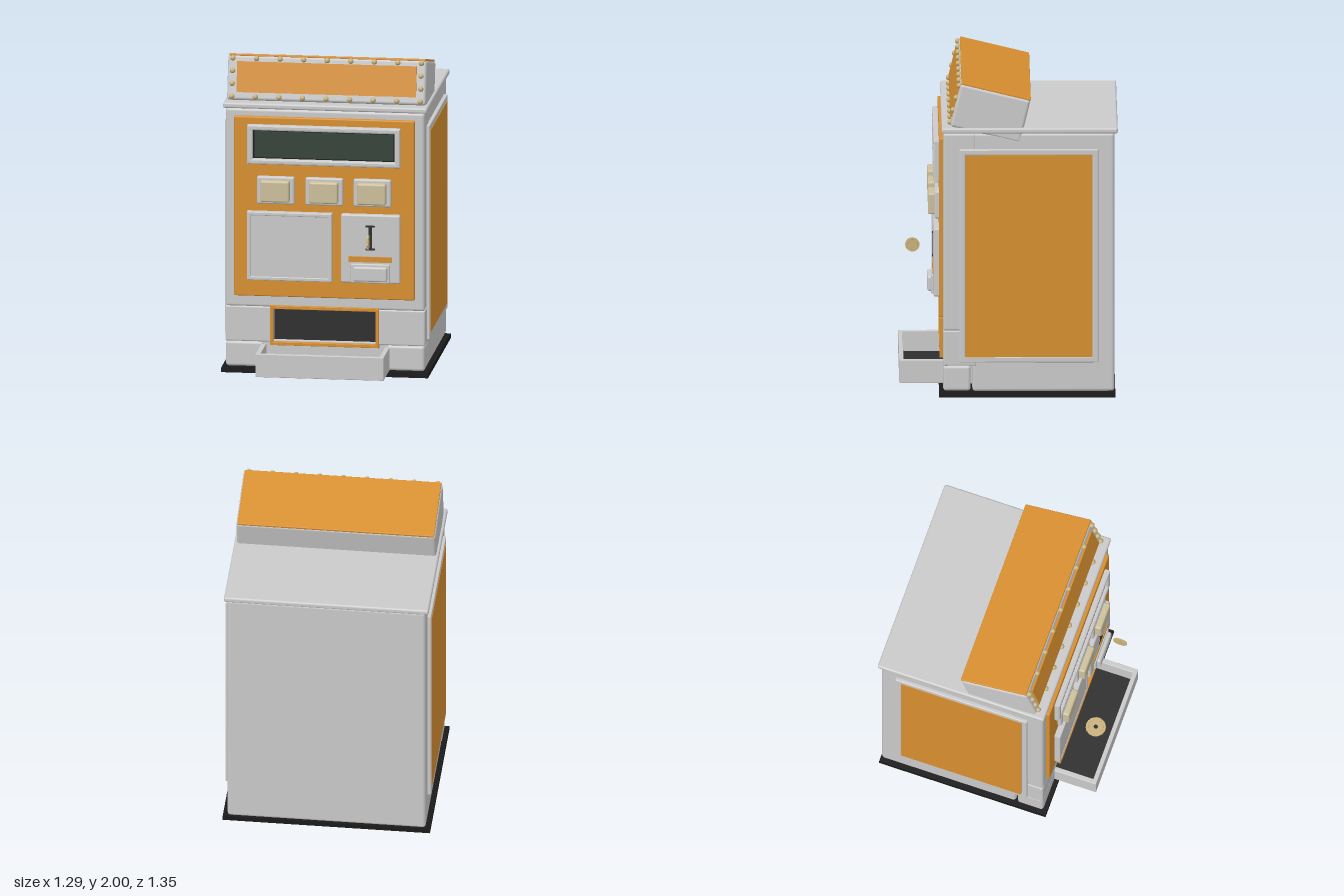
import * as THREE from 'three';
import { RoundedBoxGeometry } from 'three/addons/geometries/RoundedBoxGeometry.js';

const mat = (name, color) => {
  const m = new THREE.MeshStandardMaterial({ color });
  m.name = name;
  return m;
};

export function createModel() {
  const grey = mat('lightGrey', 0xcacaca);
  const orange = mat('orange', 0xd88f30);
  const cream = mat('cream', 0xcdc09c);
  const brass = mat('brass', 0xcbb27c);
  const black = mat('black', 0x1a1a1a);
  const dark = mat('darkGrey', 0x2e2e2e);
  const screen = mat('darkGreenGlass', 0x34433a);

  const model = new THREE.Group();
  model.name = 'vendingMachine';

  const add = (parent, name, geometry, material, x = 0, y = 0, z = 0) => {
    const mesh = new THREE.Mesh(geometry, material);
    mesh.name = name;
    mesh.position.set(x, y, z);
    parent.add(mesh);
    return mesh;
  };
  // Box given by its limits; r > 0 rounds the edges
  const box = (name, material, [x0, x1], [y0, y1], [z0, z1], r = 0, parent = model) => {
    const w = x1 - x0, h = y1 - y0, d = z1 - z0;
    const g = r ? new RoundedBoxGeometry(w, h, d, 2, r) : new THREE.BoxGeometry(w, h, d);
    return add(parent, name, g, material, (x0 + x1) / 2, (y0 + y1) / 2, (z0 + z1) / 2);
  };
  // Bevelled rectangular frame facing +z, its back on z = 0
  const frameGeometry = (w, h, border, depth, bevel) => {
    const rect = (path, a, b) => path.moveTo(-a, -b).lineTo(a, -b).lineTo(a, b).lineTo(-a, b).closePath();
    const shape = rect(new THREE.Shape(), w / 2 - bevel, h / 2 - bevel);
    shape.holes.push(rect(new THREE.Path(), w / 2 - border + bevel, h / 2 - border + bevel));
    return new THREE.ExtrudeGeometry(shape, {
      depth: depth - 2 * bevel, bevelEnabled: true, bevelSize: bevel,
      bevelThickness: bevel, bevelSegments: 2,
    }).translate(0, 0, bevel);
  };

  // Cabinet
  box('basePlate', black, [-0.645, 0.645], [0, 0.03], [-0.66, 0.43]);
  box('mainBody', grey, [-0.617, 0.617], [0.03, 1.675], [-0.655, 0.225], 0.02);
  box('frontBody', grey, [-0.62, 0.62], [0.415, 1.675], [0.2, 0.405], 0.018);
  box('roof', grey, [-0.637, 0.637], [1.675, 1.71], [-0.675, 0.415], 0.012);

  // Side panels
  for (const s of [-1, 1]) {
    const panel = new THREE.Group();
    panel.name = s > 0 ? 'leftSidePanel' : 'rightSidePanel';
    panel.position.set(s * 0.612, 0.898, -0.125);
    panel.rotation.y = s * Math.PI / 2;
    add(panel, 'sidePanelFrame', frameGeometry(0.86, 1.355, 0.037, 0.028, 0.006), grey);
    add(panel, 'sidePanelFace', new THREE.BoxGeometry(0.786, 1.285, 0.024), orange, 0, 0, 0.018);
    model.add(panel);
  }

  // Lower front: blocks beside the outlet and feet beside the tray
  for (const s of [-1, 1]) {
    const span = (a, b) => (s > 0 ? [a, b] : [-b, -a]);
    box('outletSideBlock', grey, span(0.325, 0.623), [0.195, 0.42], [0.2, 0.405], 0.01);
    box('frontFoot', grey, span(0.385, 0.62), [0.035, 0.195], [0.235, 0.405], 0.018);
  }
  box('lowerFiller', grey, [-0.4, 0.4], [0.03, 0.2], [0.2, 0.38]);
  box('outletBack', dark, [-0.33, 0.33], [0.195, 0.42], [0.22, 0.34]);
  add(model, 'outletFrame', frameGeometry(0.68, 0.25, 0.02, 0.03, 0.002), orange, -0.003, 0.305, 0.395);

  // Tray
  const tray = new THREE.Group();
  tray.name = 'tray';
  model.add(tray);
  box('trayFloor', grey, [-0.397, 0.397], [0.033, 0.043], [0.38, 0.673], 0, tray);
  box('trayLining', dark, [-0.372, 0.372], [0.043, 0.05], [0.38, 0.65], 0, tray);
  box('trayFront', grey, [-0.4, 0.4], [0.033, 0.18], [0.648, 0.675], 0.004, tray);
  for (const x of [-0.385, 0.385]) {
    box('traySide', grey, [x - 0.015, x + 0.015], [0.033, 0.18], [0.38, 0.67], 0.004, tray);
  }

  // Front control plate with display
  box('frontPlate', orange, [-0.565, 0.56], [0.49, 1.63], [0.39, 0.43], 0.008);
  add(model, 'displayFrame', frameGeometry(0.955, 0.25, 0.035, 0.04, 0.01), grey, -0.002, 1.46, 0.425);
  add(model, 'displaySurround', new THREE.BoxGeometry(0.9, 0.195, 0.008), black, -0.002, 1.46, 0.434);
  add(model, 'displayGlass', new THREE.BoxGeometry(0.865, 0.165, 0.008), screen, -0.002, 1.46, 0.44);

  // Selection buttons
  for (const x of [-0.303, 0, 0.3]) {
    box('buttonMount', grey, [x - 0.117, x + 0.117], [1.083, 1.258], [0.42, 0.457], 0.012);
    box('button', cream, [x - 0.09, x + 0.09], [1.103, 1.238], [0.44, 0.497], 0.012);
  }

  // Blank door and coin panel
  box('doorPanel', grey, [-0.48, 0.05], [0.6, 1.035], [0.42, 0.465], 0.012);
  add(model, 'doorPanelRim', frameGeometry(0.53, 0.435, 0.025, 0.044, 0.006), grey, -0.215, 0.8175, 0.425);
  box('coinPanel', grey, [0.105, 0.475], [0.6, 1.035], [0.42, 0.465], 0.012);
  box('coinSlot', dark, [0.28, 0.3], [0.82, 0.96], [0.464, 0.469]);
  for (const y of [0.817, 0.963]) box('coinSlotEnd', dark, [0.26, 0.32], [y - 0.005, y + 0.005], [0.464, 0.47]);
  box('coinStripe', orange, [0.155, 0.425], [0.735, 0.77], [0.464, 0.47]);
  box('coinReturnMount', grey, [0.168, 0.412], [0.603, 0.725], [0.45, 0.478], 0.008);
  box('coinReturnFlap', grey, [0.187, 0.397], [0.617, 0.71], [0.46, 0.502], 0.012);

  // Coins: serrated rim, raised inner ring and dark centre dot on each face
  const coin = (name, radius) => {
    const g = new THREE.Group();
    g.name = name;
    const shape = new THREE.Shape();
    for (let i = 0; i < 96; i++) {
      const a = i / 96 * Math.PI * 2, r = radius * (i % 2 ? 0.96 : 1);
      shape[i ? 'lineTo' : 'moveTo'](r * Math.cos(a), r * Math.sin(a));
    }
    shape.closePath();
    add(g, 'coinDisc', new THREE.ExtrudeGeometry(shape, { depth: 0.01, bevelEnabled: false }).translate(0, 0, -0.005), brass);
    for (const s of [-1, 1]) {
      add(g, 'coinRing', new THREE.TorusGeometry(radius * 0.72, 0.0015, 6, 32), brass, 0, 0, s * 0.005);
    }
    model.add(g);
    return g;
  };
  const insertedCoin = coin('insertedCoin', 0.045);
  insertedCoin.position.set(0.292, 0.89, 0.593);
  insertedCoin.rotation.y = Math.PI / 2;
  const trayCoin = coin('trayCoin', 0.063);
  trayCoin.position.set(0, 0.056, 0.535);
  trayCoin.rotation.x = -Math.PI / 2;
  add(trayCoin, 'coinCentre', new THREE.CylinderGeometry(0.013, 0.013, 0.012, 20).rotateX(Math.PI / 2), dark);

  // Tilted sign on the roof
  const sign = new THREE.Group();
  sign.name = 'sign';
  sign.position.set(0, 1.796, 0.114);
  sign.rotation.x = -0.24;
  model.add(sign);
  box('signBody', grey, [-0.62, 0.62], [-0.135, 0.143], [-0.222, 0.222], 0.018, sign);
  box('signTop', orange, [-0.612, 0.612], [0.138, 0.153], [-0.222, 0.218], 0.004, sign);
  box('signFace', orange, [-0.56, 0.56], [-0.087, 0.105], [0.215, 0.234], 0, sign);
  const rivet = new THREE.SphereGeometry(0.017, 14, 10);
  const rivetAt = (x, y) => add(sign, 'rivet', rivet, brass, x, y, 0.228);
  for (let i = 0; i < 9; i++) {
    const x = -0.588 + i * 0.147;
    rivetAt(x, 0.125);
    rivetAt(x, -0.113);
  }
  for (const x of [-0.588, 0.588]) for (const y of [0.046, -0.034]) rivetAt(x, y);

  return model;
}
